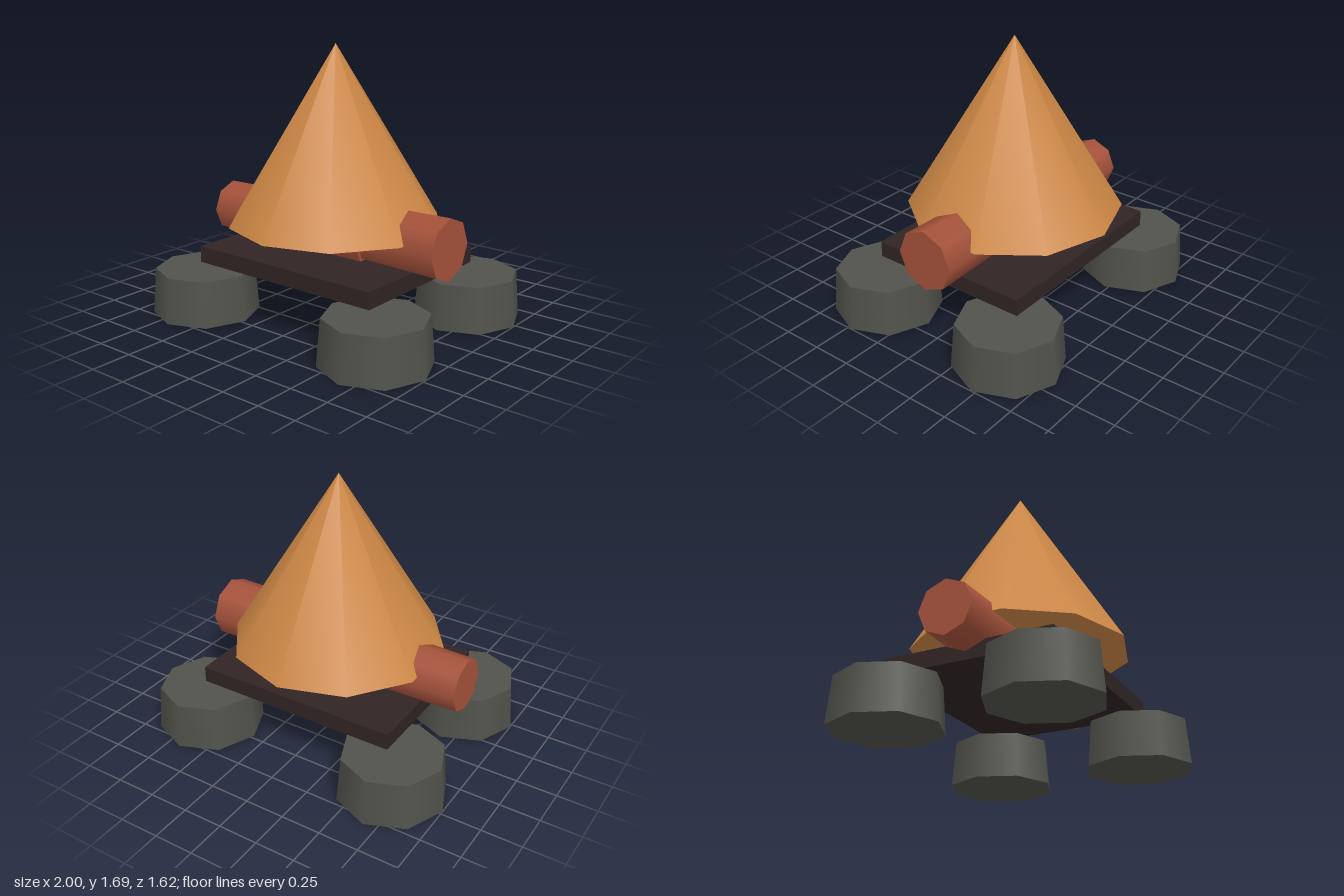
import * as THREE from 'three';

const mat = (name, color) => {
  const m = new THREE.MeshStandardMaterial({ color });
  m.name = name;
  return m;
};

export function createModel() {
  const group = new THREE.Group();
  const orange = mat('orange', 0xcd8745);
  const brick = mat('brick red', 0xa5523b);
  const charcoal = mat('charcoal', 0x51524b);
  const darkBrown = mat('dark brown', 0x302424);

  const add = (name, geometry, material, x, y, z) => {
    const mesh = new THREE.Mesh(geometry, material);
    mesh.name = name;
    mesh.position.set(x, y, z);
    group.add(mesh);
    return mesh;
  };

  // Ten-sided cone body
  add('coneBody', new THREE.ConeGeometry(0.665, 1.09, 10), orange, 0, 1.145, 0);

  // Flat chassis slab
  add('chassis', new THREE.BoxGeometry(1.31, 0.102, 1.05), darkBrown, 0, 0.381, 0);

  // Two overlapping, slightly tapered arms, wider towards +x
  const arm = new THREE.CylinderGeometry(0.19, 0.166, 1.18, 8).rotateZ(-Math.PI / 2);
  add('rightArm', arm, brick, -0.29, 0.55, 0);
  add('leftArm', arm, brick, 0.24, 0.574, 0);

  // Four eight-sided feet
  const foot = new THREE.CylinderGeometry(0.31, 0.333, 0.286, 8);
  for (const x of [-1, 1]) {
    for (const z of [-1, 1]) {
      const name = (z > 0 ? 'front' : 'back') + (x > 0 ? 'Left' : 'Right') + 'Foot';
      add(name, foot, charcoal, x * 0.667, 0.143, z * 0.476);
    }
  }
  return group;
}
